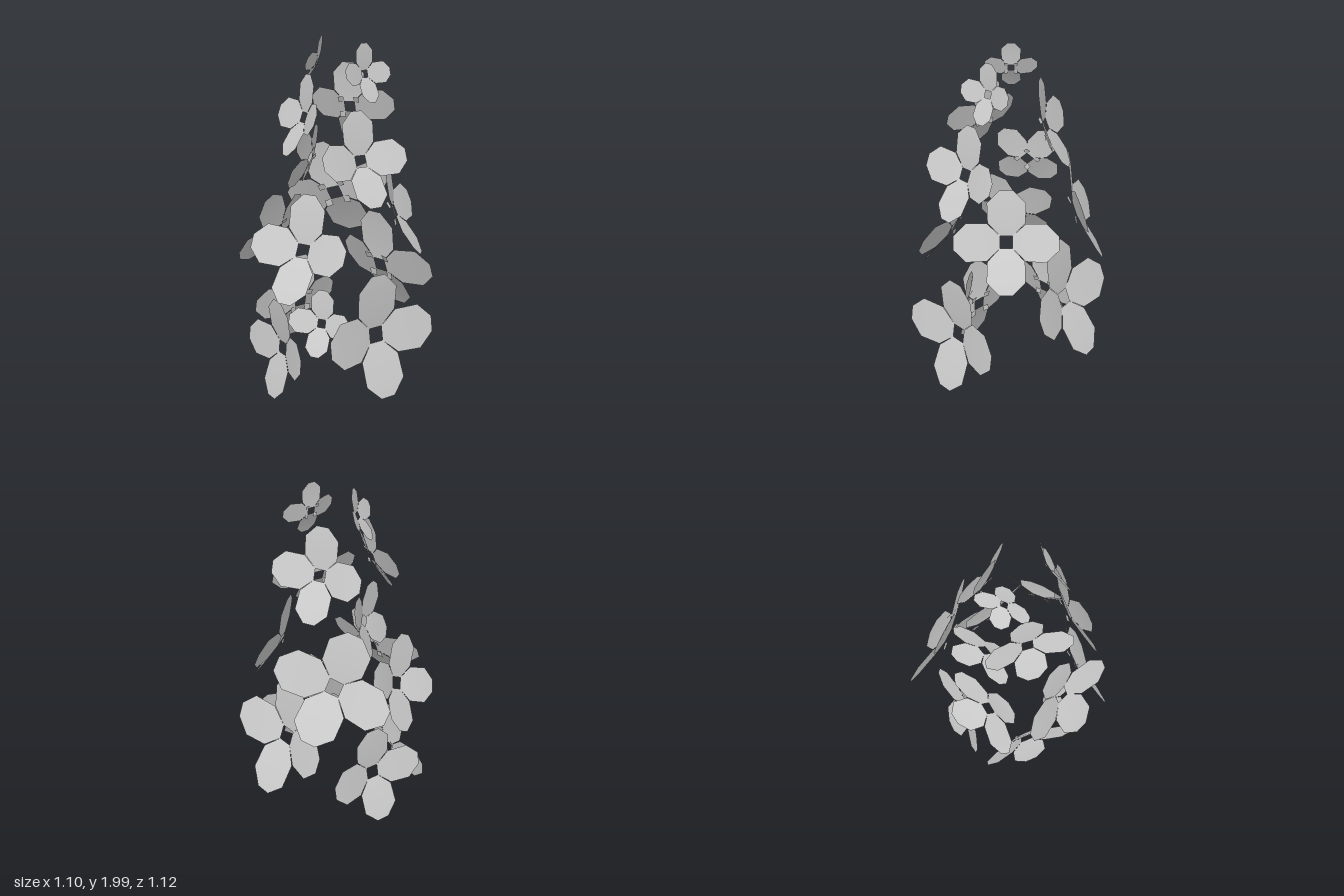
import * as THREE from 'three';

const material = new THREE.MeshStandardMaterial({ color: 0xcccccc, side: THREE.DoubleSide });

// Petal cross-sections for a flower of radius 1: distance from centre, half width, height
const ROWS = [
  [0.12, 0.12, 0.01],
  [0.37, 0.36, 0.08],
  [0.76, 0.37, 0.17],
  [1.0, 0.13, 0.21],
];

// Octagonal petal pointing up (+y), tipped forward (+z)
function petalGeometry() {
  const pos = [], index = [];
  for (const [r, w, z] of ROWS) {
    for (const s of [-1, 0, 1]) pos.push(s * w, r, z);
  }
  for (let j = 0; j < ROWS.length - 1; j++) {
    for (let i = 0; i < 2; i++) {
      const a = j * 3 + i;
      index.push(a, a + 1, a + 4, a, a + 4, a + 3);
    }
  }
  return surface(pos, index);
}

// Small flap behind each corner of the open centre
function flapGeometry() {
  const pts = [[0.12, 0.12, 0.0], [0.25, 0.12, -0.02], [0.25, 0.25, -0.04], [0.12, 0.25, -0.02]];
  return surface(pts.flat(), [0, 1, 2, 0, 2, 3]);
}

function surface(pos, index) {
  const g = new THREE.BufferGeometry();
  g.setAttribute('position', new THREE.Float32BufferAttribute(pos, 3));
  g.setIndex(index);
  g.computeVertexNormals();
  return g;
}

// Flowers: x, y, z, radius, heading (0 = front, 90 = left), upward pitch, roll, in degrees
const FLOWERS = [
  [0.205, 0.445, 0.31, 0.333, 34, 9, 0],
  [-0.085, 0.47, 0.22, 0.183, -25, 18, 0],
  [-0.305, 0.283, 0.12, 0.285, -56, 5, 0],
  [-0.22, 0.415, -0.275, 0.282, -143, 13, 0],
  [0.255, 0.645, -0.27, 0.335, 136, 21, 0],
  [-0.18, 0.905, 0.283, 0.292, -32, 25, 0],
  [0.31, 1.065, 0.06, 0.272, 79, 22, 0],
  [-0.335, 0.905, -0.095, 0.265, -121, 24, -32],
  [-0.015, 1.06, -0.385, 0.315, 169, 20, -18],
  [0.12, 1.375, 0.24, 0.254, 32, 22, 0],
  [0.07, 1.6, -0.19, 0.245, 158, 20, 0],
  [-0.15, 1.32, -0.14, 0.21, -108, 14, 45],
  [-0.175, 1.58, 0.085, 0.22, -62, 19, 0],
  [0.14, 1.81, 0.12, 0.153, 40, 14, 0],
  [-0.105, 1.86, -0.04, 0.137, -102, 22, 0],
];

export function createModel() {
  const model = new THREE.Group();
  model.name = 'flowerCone';
  const petal = petalGeometry();
  const flap = flapGeometry();
  const rad = THREE.MathUtils.degToRad;

  for (const [x, y, z, radius, heading, pitch, roll] of FLOWERS) {
    const flower = new THREE.Group();
    flower.name = 'flower';
    for (let k = 0; k < 4; k++) {
      for (const [name, geometry] of [['petal', petal], ['centreFlap', flap]]) {
        const mesh = new THREE.Mesh(geometry, material);
        mesh.name = name;
        mesh.rotation.z = (k * Math.PI) / 2;
        flower.add(mesh);
      }
    }
    flower.position.set(x, y, z);
    flower.rotation.set(-rad(pitch), rad(heading), rad(roll), 'YXZ');
    flower.scale.setScalar(radius);
    model.add(flower);
  }
  return model;
}
